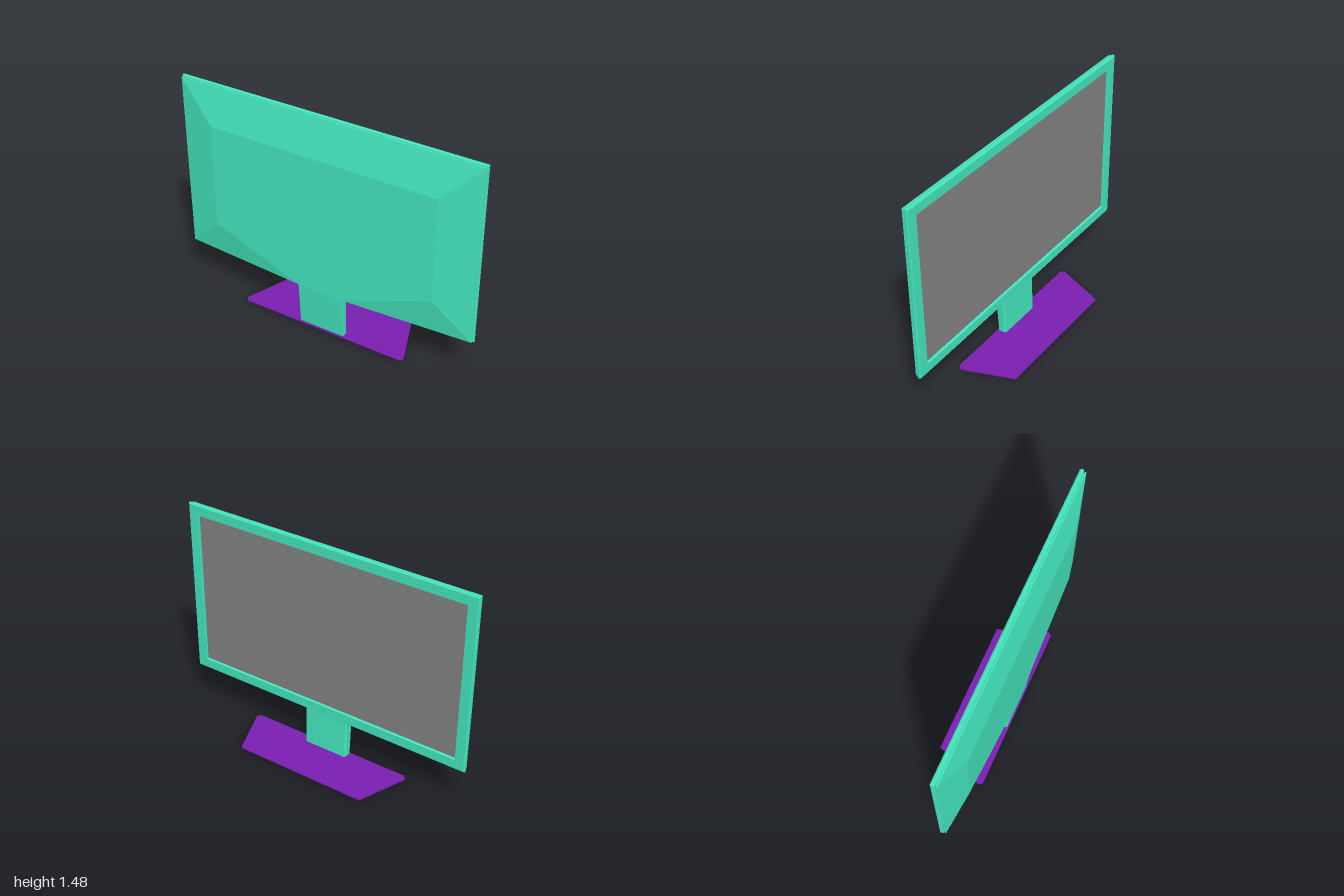
import * as THREE from 'three';

const GREEN = 0x42e2ba, PURPLE = 0x7a1eb0, GREY = 0x808080;

// Mesh from flat polygons, each fanned into triangles
function polyMesh(name, color, polygons) {
  const pos = [];
  for (const p of polygons)
    for (let i = 1; i < p.length - 1; i++) pos.push(...p[0], ...p[i], ...p[i + 1]);
  const geo = new THREE.BufferGeometry();
  geo.setAttribute('position', new THREE.Float32BufferAttribute(pos, 3));
  geo.computeVertexNormals();
  const mat = new THREE.MeshStandardMaterial({ color, flatShading: true, side: THREE.DoubleSide });
  const mesh = new THREE.Mesh(geo, mat);
  mesh.name = name;
  return mesh;
}

// Quads joining successive rings of equal point count
function loft(rings) {
  const quads = [];
  for (let r = 0; r < rings.length - 1; r++) {
    const a = rings[r], b = rings[r + 1];
    a.forEach((p, i) => {
      const j = (i + 1) % a.length;
      quads.push([p, a[j], b[j], b[i]]);
    });
  }
  return quads;
}

const capped = (rings) => [...loft(rings), [...rings[0]].reverse(), rings[rings.length - 1]];
const mirror = (poly) => poly.map(([x, y, z]) => [-x, y, z]).reverse();

// Rectangle of the panel outline, pulled in by an inset, at depth z
function panelRing(inset, z) {
  const x = 1 - inset, y0 = 0.302 + inset, y1 = 1.484 - inset;
  return [[-x, y0, z], [x, y0, z], [x, y1, z], [-x, y1, z]];
}

export function createModel() {
  const group = new THREE.Group();
  group.name = 'monitor';

  // Bezel: recess wall, face, rounded rim and shadow groove
  const profile = [
    [0.072, 0.1], [0.068, 0.084], [0.007, 0.084], [0.001, 0.09], [0, 0.1],
    [0.002, 0.108], [0.007, 0.111], [0.013, 0.111], [0.013, 0.115], [0.007, 0.117], [0.007, 0.125],
  ];
  group.add(polyMesh('bezel', GREEN, loft(profile.map(([i, z]) => panelRing(i, z)))));

  // Display surface, set back inside the bezel
  group.add(polyMesh('screen', GREY, [panelRing(0.072, 0.099).reverse()]));

  // Sloped housing whose flat centre runs down into the neck
  const X = 0.993, Y0 = 0.309, Y1 = 1.477, Z0 = 0.125, Z1 = 0.18;
  const x = 0.755, y0 = 0.545, y1 = 1.235, n = 0.154;
  const side = [[X, Y0, Z0], [X, Y1, Z0], [x, y1, Z1], [x, y0, Z1]];
  const lower = [[n, Y0, Z1], [X, Y0, Z0], [x, y0, Z1]];
  const under = [[n, Y0, Z0], [X, Y0, Z0], [n, Y0, Z1]];
  group.add(polyMesh('housing', GREEN, [
    [[-n, Y0, Z1], [n, Y0, Z1], [x, y0, Z1], [x, y1, Z1], [-x, y1, Z1], [-x, y0, Z1]],
    [[X, Y1, Z0], [-X, Y1, Z0], [-x, y1, Z1], [x, y1, Z1]],
    ...[side, lower, under].flatMap((p) => [p, mirror(p)]),
  ]));

  // Tapered neck with chamfered rear edges
  const neckRing = (y, front, back) => [
    [-n, y, front], [n, y, front], [n, y, 0.125],
    [n - 0.01, y, back], [0.01 - n, y, back], [-n, y, 0.125],
  ];
  group.add(polyMesh('neck', GREEN, capped([neckRing(0.012, 0.16, 0.11), neckRing(Y0, Z1, 0.12)])));

  // Trapezoid foot with clipped front corners and a bevelled lower edge
  const baseRing = (y, inset) => [
    [-0.555, 0.17], [0.555, 0.17], [0.573, 0.145], [0.45, -0.18], [-0.45, -0.18], [-0.573, 0.145],
  ].map(([px, pz]) => [px - Math.sign(px) * inset, y, pz - Math.sign(pz) * inset]);
  group.add(polyMesh('base', PURPLE, capped([baseRing(0, 0.008), baseRing(0.01, 0), baseRing(0.017, 0)])));

  return group;
}
